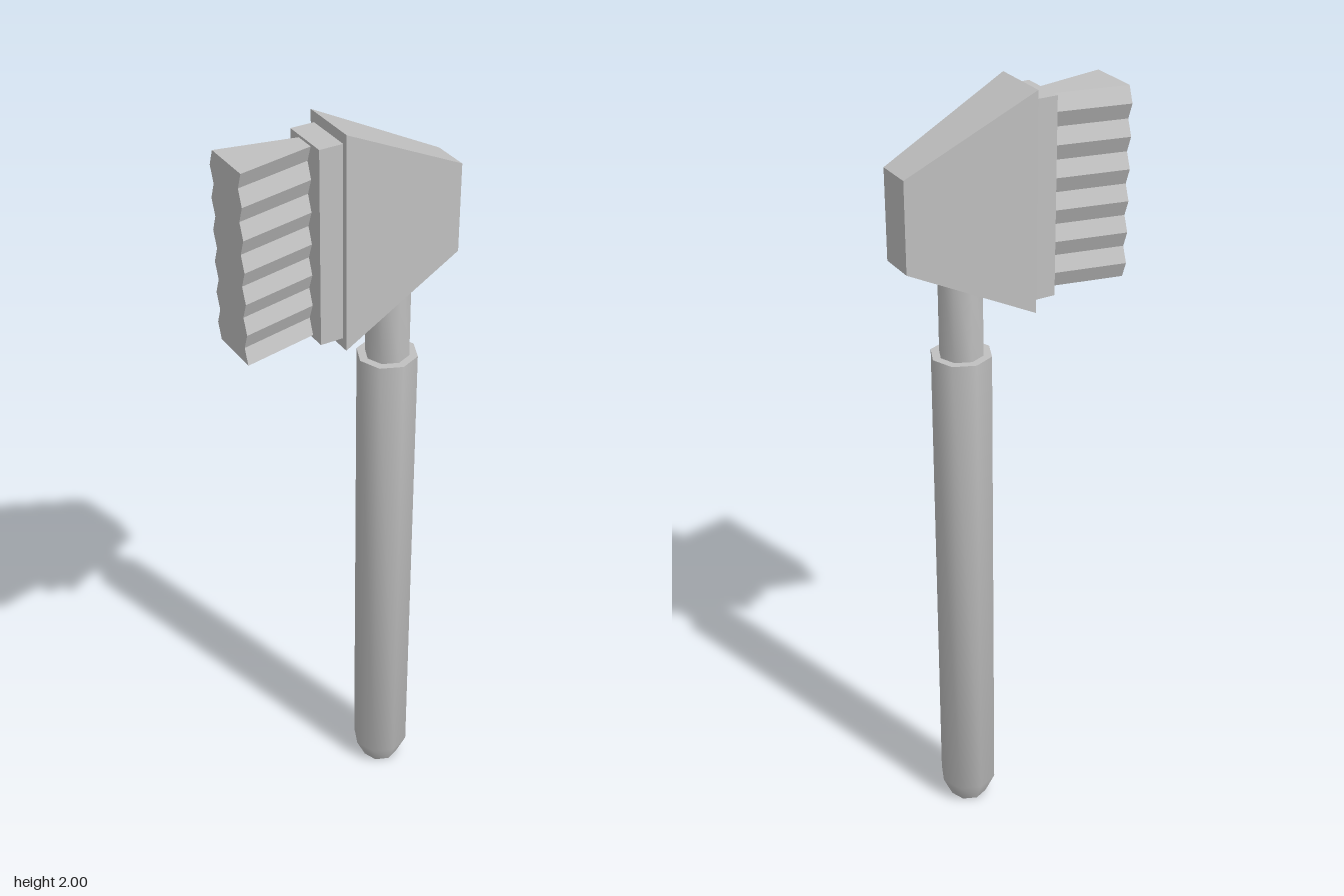
import * as THREE from 'three';
import { toCreasedNormals } from 'three/addons/utils/BufferGeometryUtils.js';

const lerp = THREE.MathUtils.lerp;

// Unit box whose corners are moved by rule(t along x 0..1, u along y 0..1, side in z -1/+1)
function shapedBox(rows, rule) {
  const box = new THREE.BoxGeometry(1, 1, 1, 1, rows, 1);
  const p = box.attributes.position;
  for (let i = 0; i < p.count; i++) {
    p.setXYZ(i, ...rule(p.getX(i) + 0.5, p.getY(i) + 0.5, Math.sign(p.getZ(i))));
  }
  const flat = box.toNonIndexed();
  flat.computeVertexNormals();
  return flat;
}

export function createModel() {
  const group = new THREE.Group();
  const grey = new THREE.MeshStandardMaterial({ color: 0xc0c0c0 });
  grey.name = 'grey';

  const add = (name, geometry) => {
    const mesh = new THREE.Mesh(geometry, grey);
    mesh.name = name;
    group.add(mesh);
    return mesh;
  };

  // Eight-sided handle with a tapered foot, and the thinner neck above it
  const turned = (profile) => toCreasedNormals(
    new THREE.LatheGeometry(profile.map(([r, y]) => new THREE.Vector2(r, y)), 8), 0.9);
  add('handle', turned([[0, 0], [0.05, 0], [0.076, 0.06], [0.076, 1.365], [0, 1.365]])).position.x = 0.123;
  add('neck', turned([[0.055, 1.36], [0.055, 1.64], [0, 1.64]])).position.x = 0.123;

  // Wedge-shaped head, tapering in height and depth toward +x
  add('head', shapedBox(1, (t, u, side) => [
    lerp(-0.037, 0.284, t),
    lerp(lerp(1.463, 1.62, t), lerp(2, 1.843, t), u),
    side * lerp(0.077, 0.048, t),
  ]));

  // Flat plate that holds the bristles
  add('bristlePlate', new THREE.BoxGeometry(0.06, 0.485, 0.125)).position.set(-0.066, 1.732, 0);

  // Bristle block: flares outward, with zigzag ridges running along x
  const rows = 12;
  add('bristles', shapedBox(rows, (t, u, side) => {
    const zigzag = Math.round(u * rows) % 2 ? -0.0145 : 0;
    return [
      lerp(-0.285, -0.095, t),
      lerp(1.497, 1.968, u),
      side * lerp(0.065, 0.026, t) + zigzag,
    ];
  }));

  return group;
}
